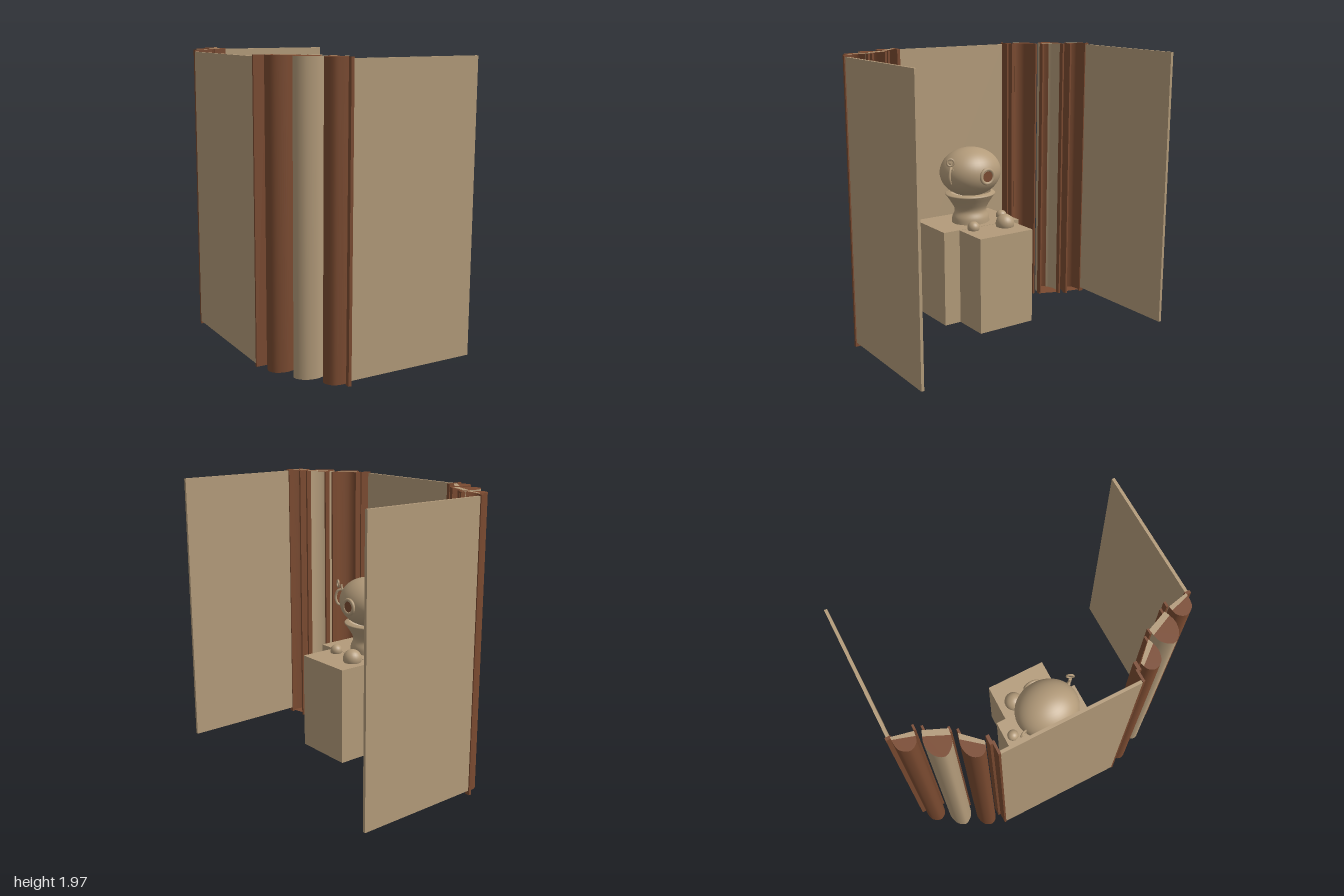
import * as THREE from 'three';

const tan = new THREE.MeshStandardMaterial({ color: 0xb39b7a, side: THREE.DoubleSide });
tan.name = 'tan';
const brown = new THREE.MeshStandardMaterial({ color: 0x7a4a30, side: THREE.DoubleSide });
brown.name = 'brown';

const TOP = 1.97;

function add(parent, name, geometry, material, x = 0, y = 0, z = 0) {
  const mesh = new THREE.Mesh(geometry, material);
  mesh.name = name;
  mesh.position.set(x, y, z);
  parent.add(mesh);
  return mesh;
}

// Box given by its minimum and maximum corners
function block(parent, name, material, [x0, y0, z0], [x1, y1, z1]) {
  return add(parent, name, new THREE.BoxGeometry(x1 - x0, y1 - y0, z1 - z0), material,
    (x0 + x1) / 2, (y0 + y1) / 2, (z0 + z1) / 2);
}

// Upright curved sheet following a plan curve of (x, z) points
function sheet(points, y0, y1) {
  const pos = [], index = [];
  points.forEach((p, i) => {
    pos.push(p.x, y0, p.y, p.x, y1, p.y);
    if (i) index.push(2 * i - 2, 2 * i, 2 * i - 1, 2 * i - 1, 2 * i, 2 * i + 1);
  });
  const g = new THREE.BufferGeometry();
  g.setAttribute('position', new THREE.Float32BufferAttribute(pos, 3));
  g.setIndex(index);
  g.computeVertexNormals();
  return g;
}

function plate(points) {
  return new THREE.ShapeGeometry(new THREE.Shape(points)).rotateX(Math.PI / 2);
}

// Hollow half column, open towards the inside of the booth
function column(plan, side, outerMaterial, twoTone) {
  const group = new THREE.Group();
  group.name = 'halfColumn';
  const pts = new THREE.SplineCurve(plan.map(([x, z]) => new THREE.Vector2(x, z * side))).getPoints(30);
  const first = pts[0], last = pts[30];
  const mid = first.clone().lerp(last, 0.5);
  const inner = pts.map(p => p.clone().lerp(mid, 0.05));
  add(group, 'columnOutside', sheet(pts, 0.01, TOP), outerMaterial);
  if (twoTone) {
    add(group, 'columnInsideBrown', sheet(inner.slice(0, 18), 0.01, TOP), brown);
    add(group, 'columnInsideTan', sheet(inner.slice(17), 0.01, TOP), tan);
  } else {
    add(group, 'columnInside', sheet(inner, 0.01, TOP), brown);
  }
  add(group, 'columnTop', plate(pts), brown, 0, TOP, 0);
  add(group, 'columnTopEdge', plate([first, pts[3], pts[27], last]), tan, 0, TOP + 0.003, 0);
  add(group, 'columnBottom', plate(pts), brown, 0, 0.01, 0);
  return group;
}

// Plan curves of the three columns on one side
const plans = [
  [[-0.53, 0.505], [-0.58, 0.525], [-0.6, 0.57], [-0.57, 0.62], [-0.5, 0.64], [-0.42, 0.62]],
  [[-0.37, 0.655], [-0.46, 0.675], [-0.51, 0.74], [-0.47, 0.8], [-0.39, 0.82], [-0.31, 0.795]],
  [[-0.295, 0.835], [-0.36, 0.85], [-0.39, 0.9], [-0.36, 0.955], [-0.31, 0.97], [-0.265, 0.97]],
];
// Thin lips along the column edges
const lips = [[-0.27, 0.828], [-0.3, 0.783], [-0.375, 0.652], [-0.41, 0.612]];

function createHelmet() {
  const group = new THREE.Group();
  group.name = 'helmet';
  group.position.set(-0.28, 0, 0.05);

  add(group, 'helmetDome', new THREE.SphereGeometry(1, 40, 28), tan, 0, 1.105, 0).scale.set(0.2, 0.175, 0.225);

  // Waisted neck
  const profile = [[0.14, 0.74], [0.135, 0.78], [0.118, 0.82], [0.122, 0.85], [0.145, 0.89], [0.175, 0.935], [0.18, 0.95], [0.15, 0.96]];
  const curve = new THREE.SplineCurve(profile.map(([r, y]) => new THREE.Vector2(r, y)));
  add(group, 'neck', new THREE.LatheGeometry(curve.getPoints(30), 40), tan).scale.x = 0.9;
  const collar = add(group, 'collar', new THREE.TorusGeometry(0.178, 0.007, 8, 40), tan, 0, 0.945, 0);
  collar.rotation.x = Math.PI / 2;
  collar.scale.x = 0.9;

  // Round porthole
  const port = new THREE.Group();
  port.name = 'porthole';
  port.position.set(0.197, 1.1, -0.015);
  port.rotation.y = Math.PI / 2;
  add(port, 'portholeRim', new THREE.TorusGeometry(0.05, 0.012, 10, 28), tan);
  add(port, 'portholeGlass', new THREE.CircleGeometry(0.038, 24), brown, 0, 0, 0.008);
  group.add(port);

  // Side handle with a ring above it
  const handle = new THREE.CatmullRomCurve3([
    [0.06, 1.05, 0.2], [0.1, 1.06, 0.225], [0.11, 1.11, 0.24], [0.1, 1.16, 0.225], [0.06, 1.17, 0.19],
  ].map(p => new THREE.Vector3(...p)));
  add(group, 'sideHandle', new THREE.TubeGeometry(handle, 20, 0.009, 8), tan);
  add(group, 'handleRing', new THREE.TorusGeometry(0.024, 0.007, 8, 20), tan, 0.1, 1.21, 0.225).rotation.y = 1.1;
  const stem = add(group, 'ringStem', new THREE.CylinderGeometry(0.008, 0.008, 0.06, 8), tan, 0.08, 1.175, 0.205);
  stem.rotation.x = 0.3;
  add(group, 'rearRing', new THREE.TorusGeometry(0.025, 0.007, 8, 20), tan, -0.09, 1.13, -0.225).rotation.y = -Math.PI / 2 + 0.4;
  return group;
}

export function createModel() {
  const model = new THREE.Group();
  model.name = 'displayBooth';

  // Walls
  block(model, 'backWall', tan, [-0.637, 0.03, -0.46], [-0.617, 1.96, 0.46]);
  for (const side of [1, -1]) {
    const wing = new THREE.Group();
    wing.name = side > 0 ? 'frontWing' : 'rearWing';
    const upright = (name, material, x0, x1, z, depth, y0, y1) =>
      block(wing, name, material, [x0, y0, z * side - depth / 2], [x1, y1, z * side + depth / 2]);

    upright('sideWall', tan, -0.26, 0.635, 0.982, 0.02, 0.03, 1.96);
    upright('wallEdgeTrim', brown, -0.275, -0.255, 0.982, 0.036, 0, TOP);
    upright('cornerTrim', brown, -0.637, -0.55, 0.466, 0.016, 0.01, TOP);
    upright('cornerLip', brown, -0.565, -0.505, 0.48, 0.022, 0.01, TOP);
    for (const [x, z] of lips) {
      upright('columnLip', brown, x - 0.02, x + 0.016, z, 0.014, 0.01, TOP);
    }
    plans.forEach((plan, i) => wing.add(column(plan, side, i === 1 ? tan : brown, i === 1)));
    model.add(wing);
  }

  // Stepped pedestal
  block(model, 'pedestalBack', tan, [-0.51, 0.06, -0.255], [-0.11, 0.74, 0.375]);
  block(model, 'pedestalFront', tan, [-0.112, 0.06, -0.185], [0.155, 0.738, 0.25]);

  // Balls resting on the pedestal
  for (const [x, y, z, r] of [[-0.025, 0.76, -0.075, 0.066], [-0.07, 0.755, 0.16, 0.043], [-0.245, 0.75, -0.195, 0.04]]) {
    add(model, 'ball', new THREE.SphereGeometry(r, 24, 16), tan, x, y, z);
  }

  model.add(createHelmet());
  return model;
}
